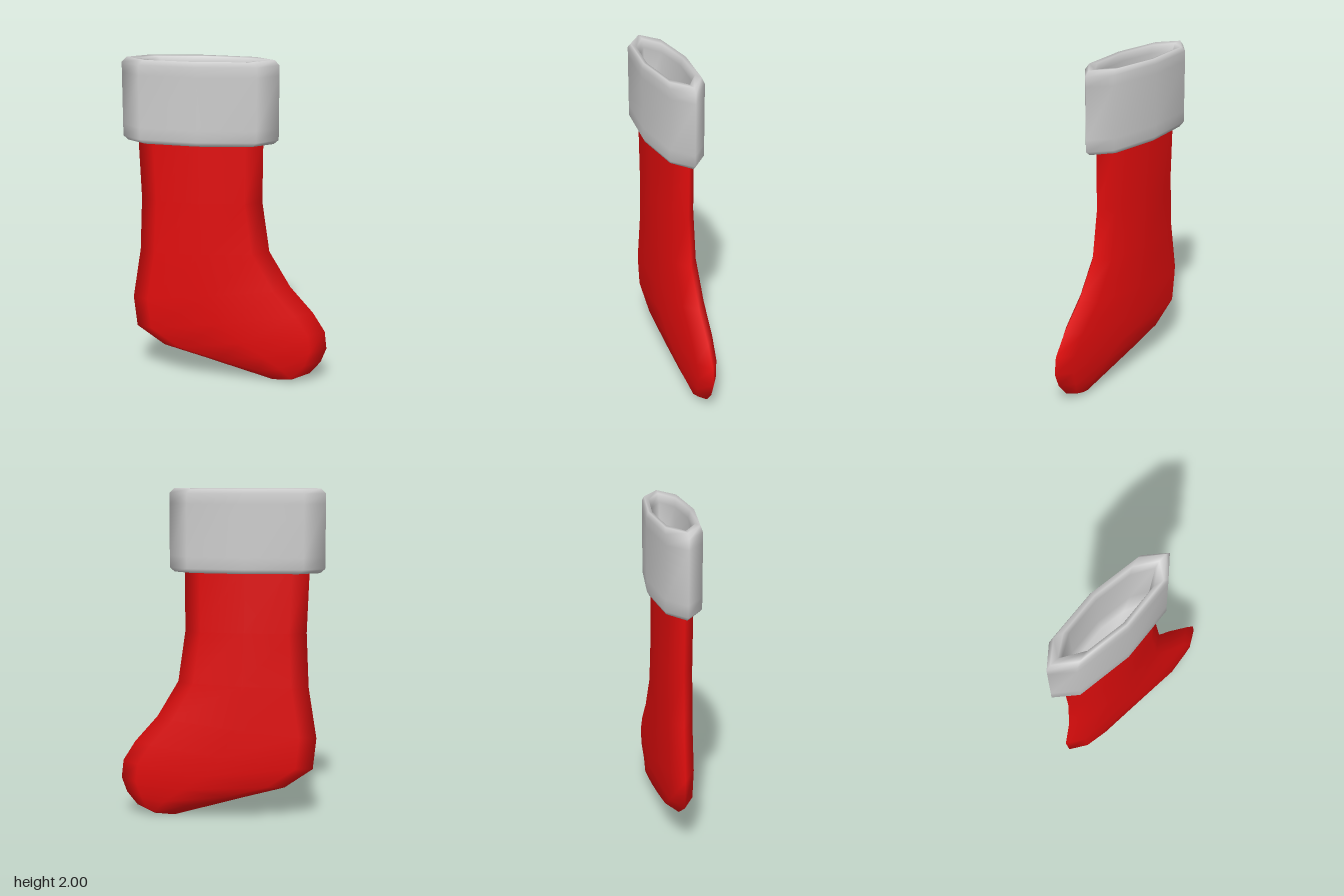
import * as THREE from 'three';
import { mergeVertices } from 'three/addons/utils/BufferGeometryUtils.js';

// Flat eight-sided ring between two edge points (ax, ay) and (bx, by), half depth d
function ring([ax, ay, bx, by, d], maxInset) {
  const width = Math.hypot(bx - ax, by - ay);
  const t = width > 0 ? Math.min(maxInset / width, 0.27) : 0;
  const at = (f, z) => [ax + (bx - ax) * f, ay + (by - ay) * f, z];
  const s = d * 0.73;
  return [at(0, 0), at(t, s), at(0.5, d), at(1 - t, s), at(1, 0), at(1 - t, -s), at(0.5, -d), at(t, -s)];
}

// Smooth skin over a list of rings
function loft(sections, maxInset) {
  const positions = [];
  const indices = [];
  sections.forEach((section) => positions.push(...ring(section, maxInset).flat()));
  for (let r = 0; r < sections.length - 1; r++) {
    for (let i = 0; i < 8; i++) {
      const j = (i + 1) % 8;
      const a = r * 8 + i, b = r * 8 + j, c = a + 8, d = b + 8;
      indices.push(a, b, d, a, d, c);
    }
  }
  let geometry = new THREE.BufferGeometry();
  geometry.setAttribute('position', new THREE.Float32BufferAttribute(positions, 3));
  geometry.setIndex(indices);
  geometry = mergeVertices(geometry, 1e-4);
  geometry.computeVertexNormals();
  return geometry;
}

export function createModel() {
  const group = new THREE.Group();
  group.name = 'stocking';

  // Sock: heel-side point, toe-side point, half depth, from the toe up to the leg
  const sock = new THREE.Mesh(
    loft([
      [0.41, 0.01, 0.41, 0.01, 0],
      [0.29, 0.005, 0.52, 0.06, 0.042],
      [0.10, 0.06, 0.585, 0.14, 0.066],
      [-0.14, 0.13, 0.618, 0.23, 0.079],
      [-0.39, 0.20, 0.605, 0.34, 0.087],
      [-0.56, 0.32, 0.53, 0.46, 0.092],
      [-0.58, 0.51, 0.39, 0.62, 0.095],
      [-0.53, 0.82, 0.26, 0.84, 0.095],
      [-0.515, 1.15, 0.215, 1.15, 0.095],
      [-0.53, 1.55, 0.218, 1.55, 0.095],
    ], 0.1),
    new THREE.MeshStandardMaterial({ color: 0xe00d0d, side: THREE.DoubleSide }),
  );
  sock.name = 'sock';
  group.add(sock);

  // Cuff: underside, outer wall, rolled rim, then down the inside to the floor
  const cuffX = -0.156;
  const cuffRings = [
    [1.525, 0, 0],
    [1.515, 0.36, 0.085],
    [1.505, 0.435, 0.128],
    [1.53, 0.464, 0.141],
    [1.6, 0.464, 0.141],
    [1.91, 0.464, 0.141],
    [1.97, 0.464, 0.141],
    [2.0, 0.435, 0.13],
    [1.995, 0.38, 0.108],
    [1.95, 0.35, 0.096],
    [1.66, 0.345, 0.092],
    [1.59, 0.28, 0.07],
    [1.565, 0, 0],
  ];
  const cuff = new THREE.Mesh(
    loft(cuffRings.map(([y, w, d]) => [cuffX - w, y, cuffX + w, y, d]), 0.12),
    new THREE.MeshStandardMaterial({ color: 0xcccccc }),
  );
  cuff.name = 'cuff';
  group.add(cuff);

  return group;
}
